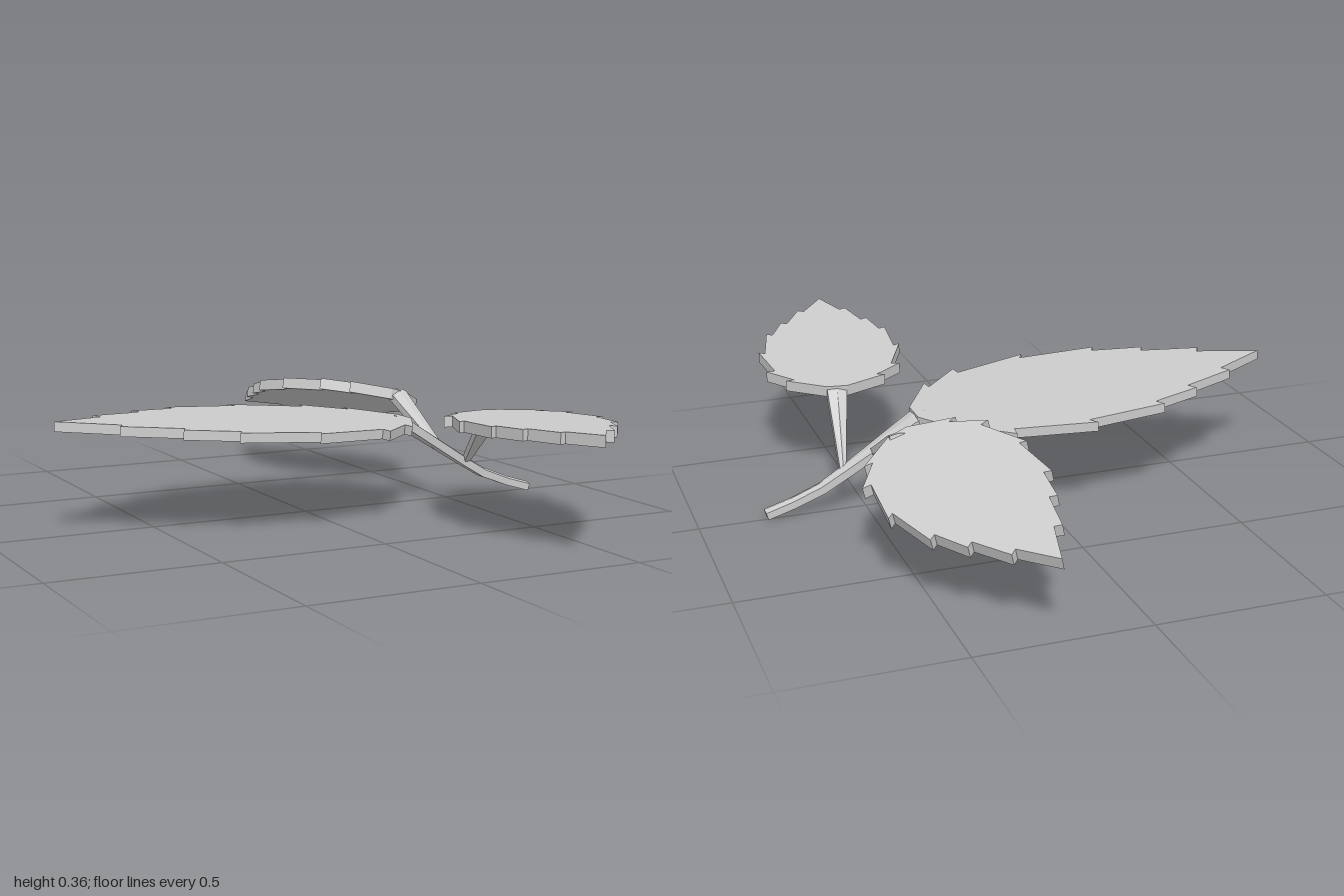
import * as THREE from 'three';

const material = new THREE.MeshStandardMaterial({ color: 0xcccccc, flatShading: true, side: THREE.DoubleSide });
const vec = (a) => new THREE.Vector3(...a);

// Teeth along one edge of a leaf of length 1.14: [distance from base, half width]
const TEETH = [[0.10, 0.22], [0.22, 0.30], [0.46, 0.325], [0.69, 0.28], [0.83, 0.205], [0.985, 0.115]];
const LENGTH = 1.14;

// Serrated outline: each tooth ends in a small notch stepping back to the blade
function leafShape(scale) {
  const edge = [[0, 0.045]];
  TEETH.forEach(([u, v], i) => {
    const back = i < 2 ? 0.004 : -0.016;
    edge.push([u, v], [u + back, v - (i < 2 ? 0.038 : 0.028)]);
  });
  const outline = [...edge, [LENGTH, 0], ...edge.map(([u, v]) => [u, -v]).reverse()];
  return new THREE.Shape(outline.map(([u, v]) => new THREE.Vector2(u * scale, v * scale)));
}

// Flat blade from base to tip, its top face lying in the plane with the given normal
function leaf(name, base, tip, normal, thickness) {
  const along = vec(tip).sub(vec(base));
  const size = along.length();
  along.normalize();
  const across = vec(normal).cross(along).normalize();
  const up = along.clone().cross(across);
  const geometry = new THREE.ExtrudeGeometry(leafShape(size / LENGTH), { depth: thickness, bevelEnabled: false });
  geometry.translate(0, 0, -thickness);
  geometry.applyMatrix4(new THREE.Matrix4().makeBasis(along, across, up).setPosition(vec(base)));
  const mesh = new THREE.Mesh(geometry, material);
  mesh.name = name;
  return mesh;
}

// Ridged five-sided stalk lofted through sections [x, y, z, width, height]
const SECTION = [[-0.5, -0.5], [0.5, -0.5], [0.5, 0.3], [0, 0.5], [-0.5, 0.3]];
function stalk(name, sections, side) {
  const centres = sections.map((s) => vec(s.slice(0, 3)));
  const n = SECTION.length, positions = [], index = [];
  sections.forEach(([, , , width, height], i) => {
    const tangent = centres[Math.min(i + 1, centres.length - 1)].clone().sub(centres[Math.max(i - 1, 0)]).normalize();
    const up = vec(side).cross(tangent).normalize();
    if (up.y < 0) up.negate();
    const across = up.clone().cross(tangent);
    for (const [a, b] of SECTION) {
      const p = centres[i].clone().addScaledVector(across, a * width).addScaledVector(up, b * height);
      positions.push(p.x, p.y, p.z);
    }
  });
  for (let i = 0; i < sections.length - 1; i++) {
    for (let j = 0; j < n; j++) {
      const a = i * n + j, b = i * n + (j + 1) % n;
      index.push(a, a + n, b, b, a + n, b + n);
    }
  }
  // End caps
  const last = (sections.length - 1) * n;
  for (let j = 1; j < n - 1; j++) index.push(0, j, j + 1, last, last + j + 1, last + j);
  // Orient faces outwards: the first side face must point away from the centre line
  const at = (k) => new THREE.Vector3().fromArray(positions, k * 3);
  const facing = at(index[1]).sub(at(index[0])).cross(at(index[2]).sub(at(index[0])));
  if (facing.dot(at(0).add(at(1)).multiplyScalar(0.5).sub(centres[0])) < 0) {
    for (let k = 0; k < index.length; k += 3) [index[k + 1], index[k + 2]] = [index[k + 2], index[k + 1]];
  }
  const geometry = new THREE.BufferGeometry();
  geometry.setAttribute('position', new THREE.Float32BufferAttribute(positions, 3));
  geometry.setIndex(index);
  const flat = geometry.toNonIndexed();
  flat.computeVertexNormals();
  const mesh = new THREE.Mesh(flat, material);
  mesh.name = name;
  return mesh;
}

export function createModel() {
  const group = new THREE.Group();
  group.name = 'leafSprig';

  // Blades
  group.add(leaf('endLeaf', [0.34, 0.277, 0.012], [-0.8, 0.339, 0.012], [0.055, 1, 0], 0.029));
  group.add(leaf('backLeaf', [0.46, 0.321, -0.235], [0.26, 0.235, -1], [0.256, 1, -0.18], 0.035));
  group.add(leaf('frontLeaf', [0.52, 0.313, 0.215], [0.385, 0.356, 0.99], [0.02, 1, -0.05], 0.033));

  // Main stem, widening towards the end leaf
  group.add(stalk('mainStem', [
    [0.8, 0.017, 0.01, 0.036, 0.028],
    [0.72, 0.041, 0.01, 0.036, 0.028],
    [0.63, 0.076, 0.01, 0.038, 0.03],
    [0.56, 0.117, 0.01, 0.046, 0.03],
    [0.34, 0.255, 0.008, 0.088, 0.032],
    [0.305, 0.268, 0.008, 0.088, 0.026],
  ], [0, 0, 1]));

  // Side stalks
  group.add(stalk('backStalk', [
    [0.465, 0.175, 0, 0.028, 0.026],
    [0.46, 0.305, -0.24, 0.06, 0.03],
    [0.46, 0.312, -0.26, 0.06, 0.026],
  ], [1, 0, 0]));
  group.add(stalk('frontStalk', [
    [0.562, 0.12, 0.015, 0.018, 0.024],
    [0.522, 0.292, 0.215, 0.06, 0.028],
    [0.518, 0.298, 0.235, 0.06, 0.024],
  ], [1, 0, 0]));

  return group;
}
